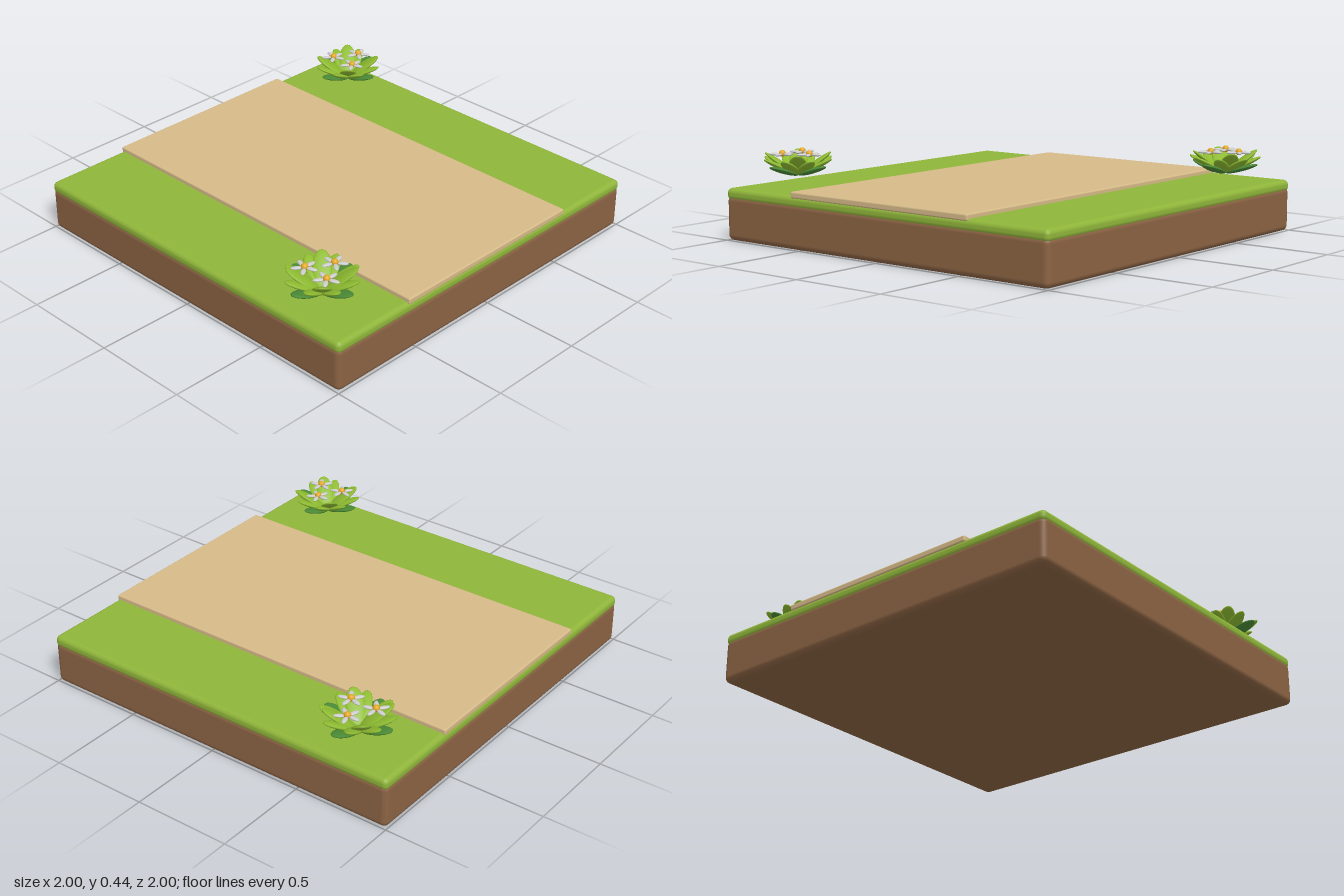
import * as THREE from 'three';
import { RoundedBoxGeometry } from 'three/addons/geometries/RoundedBoxGeometry.js';

const paint = (color) => new THREE.MeshStandardMaterial({ color });
const mats = {
  soil: paint(0x8b6343), grass: paint(0x8fb53a), path: paint(0xd6ba88),
  darkLeaf: paint(0x4a8a35), leaf: paint(0x8dbb30),
  petal: paint(0xffffff), pollen: paint(0xe5a823),
};
const ball = new THREE.SphereGeometry(1, 20, 12);

// Rounded slab between two heights
function slab(name, width, y0, y1, radius, mat) {
  const mesh = new THREE.Mesh(new RoundedBoxGeometry(width, y1 - y0, 2, 4, radius), mat);
  mesh.position.y = (y0 + y1) / 2;
  mesh.name = name;
  return mesh;
}

// Flattened blade growing outwards from a pivot, turned about y and tilted up
function blade(name, length, width, thick, start, turn, tilt, mat) {
  const pivot = new THREE.Group();
  const mesh = new THREE.Mesh(ball, mat);
  mesh.scale.set(length / 2, thick / 2, width / 2);
  mesh.position.x = start + length / 2;
  pivot.rotation.set(0, turn, tilt);
  pivot.name = name;
  pivot.add(mesh);
  return pivot;
}

// Five petals around a yellow centre
function makeFlower(turn) {
  const flower = new THREE.Group();
  flower.name = 'flower';
  for (let i = 0; i < 5; i++) {
    flower.add(blade('petal', 0.055, 0.024, 0.014, 0.009, turn + (i * Math.PI * 2) / 5, 0, mats.petal));
  }
  const centre = new THREE.Mesh(ball, mats.pollen);
  centre.name = 'flowerCentre';
  centre.scale.setScalar(0.017);
  centre.position.y = 0.004;
  flower.add(centre);
  return flower;
}

// Rosette of leaves in three rings with three flowers on top
function makePlant(x, z) {
  const plant = new THREE.Group();
  plant.name = 'floweringPlant';
  const rings = [
    { count: 4, offset: 0, length: 0.185, width: 0.085, tilt: 0.3, mat: mats.darkLeaf },
    { count: 8, offset: Math.PI / 8, length: 0.19, width: 0.075, tilt: 0.46, mat: mats.leaf },
    { count: 4, offset: Math.PI / 4, length: 0.19, width: 0.09, tilt: 0.62, mat: mats.leaf },
  ];
  for (const r of rings) {
    for (let i = 0; i < r.count; i++) {
      const turn = r.offset + (i * Math.PI * 2) / r.count;
      plant.add(blade('leaf', r.length, r.width, 0.025, 0.01, turn, r.tilt, r.mat));
    }
  }
  for (let i = 0; i < 3; i++) {
    const a = (i * Math.PI * 2) / 3;
    const flower = makeFlower(i === 0 ? Math.PI / 2 : 0);
    flower.position.set(Math.cos(a) * 0.08, 0.11, Math.sin(a) * 0.08);
    plant.add(flower);
  }
  plant.position.set(x, 0.307, z);
  return plant;
}

export function createModel() {
  const model = new THREE.Group();
  model.name = 'pathTile';
  // Layered ground
  model.add(slab('soil', 2, 0, 0.225, 0.03, mats.soil));
  model.add(slab('grass', 2, 0.2, 0.26, 0.025, mats.grass));
  model.add(slab('path', 1.1, 0.25, 0.282, 0.008, mats.path));
  // Plants in opposite corners
  model.add(makePlant(-0.8, 0.7), makePlant(0.8, -0.7));
  return model;
}
